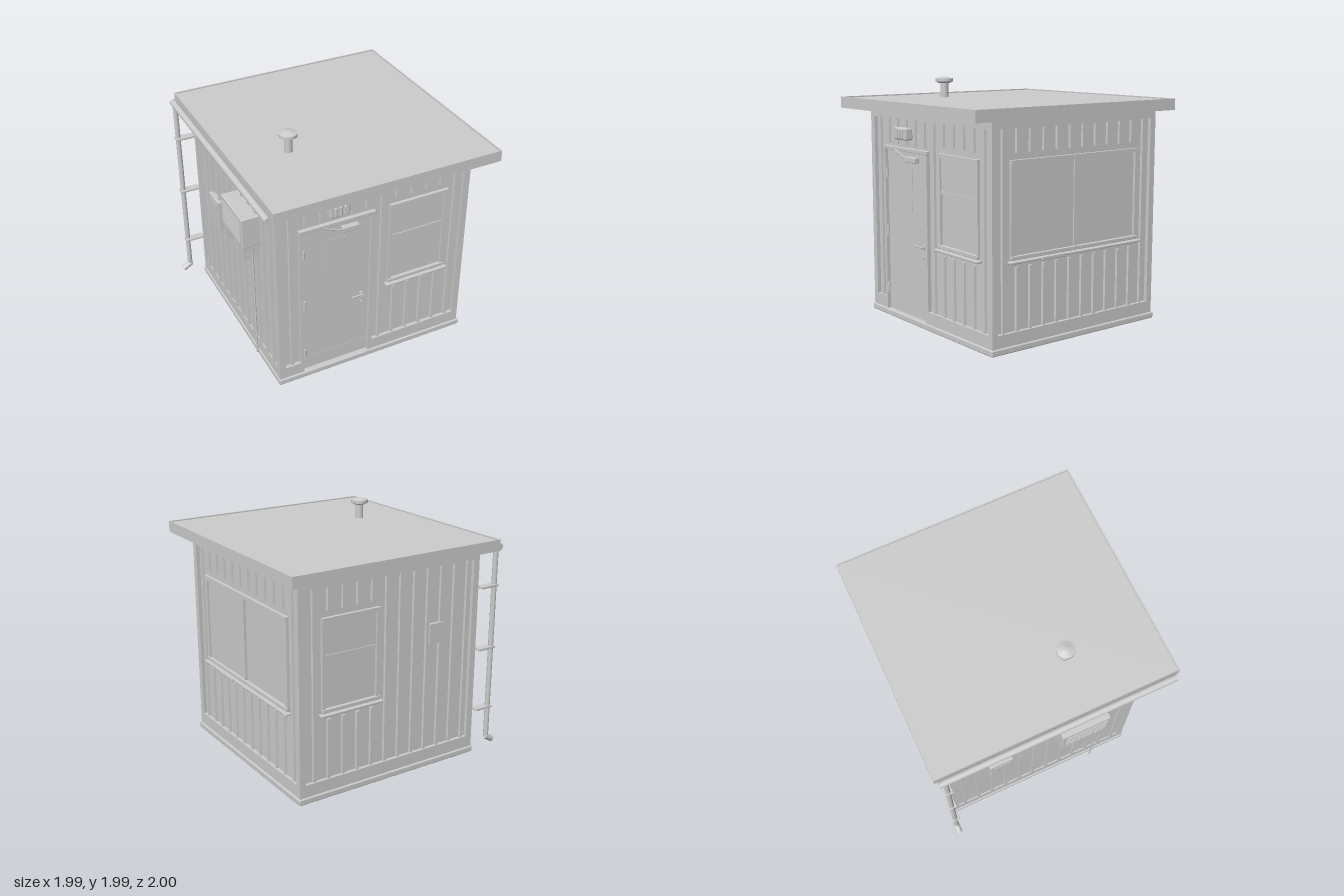
import * as THREE from 'three';
import { RoundedBoxGeometry } from 'three/addons/geometries/RoundedBoxGeometry.js';

const grey = new THREE.MeshStandardMaterial({ color: 0xcccccc });
grey.name = 'plain grey';

// wall faces of the cabin; the wall panels lie INSET behind them
const X0 = -0.783, X1 = 0.887, Z0 = -0.89, Z1 = 0.776;
const PITCH = 0.13, INSET = -0.03, LEFT_INSET = -0.012;

function add(parent, name, geo, x = 0, y = 0, z = 0) {
  const m = new THREE.Mesh(geo, grey);
  m.name = name;
  m.position.set(x, y, z);
  parent.add(m);
  return m;
}
// box given by its limits, with optional rounding
function box(parent, name, x0, x1, y0, y1, z0, z1, r = 0) {
  const s = [x1 - x0, y1 - y0, z1 - z0];
  const g = r ? new RoundedBoxGeometry(...s, 2, r) : new THREE.BoxGeometry(...s);
  return add(parent, name, g, (x0 + x1) / 2, (y0 + y1) / 2, (z0 + z1) / 2);
}
// cylinder between two points
function rod(parent, name, a, b, r, seg = 16) {
  const p = new THREE.Vector3(...a), q = new THREE.Vector3(...b);
  const m = add(parent, name, new THREE.CylinderGeometry(r, r, p.distanceTo(q), seg));
  m.position.copy(p).add(q).multiplyScalar(0.5);
  m.quaternion.setFromUnitVectors(new THREE.Vector3(0, 1, 0), q.sub(p).normalize());
  return m;
}
// wall group: local x runs along the wall, local z points outward
function wall(parent, name, x, z, turn) {
  const g = new THREE.Group();
  g.name = name;
  g.position.set(x, 0, z);
  g.rotation.y = turn * Math.PI / 2;
  parent.add(g);
  return g;
}
// edge trims around a wall; gap leaves the bottom rail open for a door
function trims(w, a, b, gap) {
  box(w, 'cornerTrim', a, a + 0.054, 0.05, 1.735, INSET, 0);
  box(w, 'cornerTrim', b - 0.054, b, 0.05, 1.735, INSET, 0);
  box(w, 'topRail', a + 0.054, b - 0.054, 1.67, 1.735, INSET, -0.001);
  const runs = gap ? [[a + 0.054, gap[0]], [gap[1], b - 0.054]] : [[a + 0.054, b - 0.054]];
  for (const [p, q] of runs) box(w, 'bottomRail', p, q, 0.05, 0.15, INSET, -0.001);
}
// one vertical rib with sloping sides
function rib(w, u, y0, y1, out) {
  const s = new THREE.Shape([[-0.015, INSET], [0.015, INSET], [0.012, out], [-0.012, out]]
    .map(([a, d]) => new THREE.Vector2(a, -d)).reverse());
  const geo = new THREE.ExtrudeGeometry(s, { depth: y1 - y0, bevelEnabled: false });
  add(w, 'rib', geo.rotateX(-Math.PI / 2), u, y0, 0);
}
// row of ribs, interrupted where an opening [left, right, bottom, top] is in the way
function ribs(w, first, count, openings, out = -0.012) {
  for (let i = 0; i < count; i++) {
    const u = first + i * PITCH;
    const o = openings.find(([l, r]) => u > l && u < r);
    const spans = o ? [[0.15, o[2]], [o[3], 1.67]] : [[0.15, 1.67]];
    for (const [p, q] of spans) if (q > p) rib(w, u, p, q, out);
  }
}
// window casing with head, sill and ledge
function casing(w, a, b) {
  box(w, 'windowHead', a, b, 1.408, 1.44, INSET, -0.002);
  box(w, 'windowSill', a, b, 0.697, 0.727, INSET, 0, 0.004);
  box(w, 'windowLedge', a - 0.022, b + 0.022, 0.673, 0.691, INSET, 0.02, 0.005);
  for (const [p, q] of [[a, a + 0.032], [b - 0.032, b]])
    box(w, 'windowJamb', p, q, 0.727, 1.408, INSET, -0.008);
}
function sashWindow(w, a, b) {
  casing(w, a, b);
  box(w, 'meetingRail', a + 0.032, b - 0.032, 1.13, 1.148, INSET, -0.014);
  box(w, 'upperSash', a + 0.032, b - 0.032, 1.148, 1.408, INSET, -0.022);
}

function buildDoor(w) {
  const F = -0.026;
  box(w, 'doorLeaf', -0.565, 0.012, 0.06, 1.405, INSET, F);
  for (const [p, q] of [[-0.595, -0.567], [0.014, 0.047]])
    box(w, 'doorJamb', p, q, 0.05, 1.41, INSET, 0.001);
  box(w, 'doorHead', -0.595, 0.05, 1.41, 1.44, INSET, 0.004, 0.004);
  box(w, 'kickPlate', -0.55, 0, 0.065, 0.18, F, F + 0.002);
  box(w, 'noticePlate', -0.355, -0.2, 0.92, 1.275, F, F + 0.003);
  for (const y of [0.235, 0.725, 1.21])
    rod(w, 'hinge', [-0.557, y - 0.04, -0.008], [-0.557, y + 0.04, -0.008], 0.01, 12);
  // lever handle and lock
  rod(w, 'handleRose', [-0.045, 0.66, F], [-0.045, 0.66, F + 0.012], 0.02, 24);
  rod(w, 'handleStem', [-0.045, 0.66, F], [-0.045, 0.66, F + 0.03], 0.008, 12);
  box(w, 'handleLever', -0.145, -0.037, 0.653, 0.667, F + 0.02, F + 0.032, 0.004);
  rod(w, 'keyLock', [-0.045, 0.575, F], [-0.045, 0.575, F + 0.01], 0.012, 20);
  // door closer
  box(w, 'closerBody', -0.24, -0.098, 1.33, 1.375, F, 0.018, 0.006);
  rod(w, 'closerArm', [-0.39, 1.415, 0.01], [-0.22, 1.352, 0.014], 0.007, 8);
}

function buildLamp(w) {
  box(w, 'lampBody', -0.36, -0.19, 1.507, 1.605, INSET, 0.04, 0.012);
  for (const u of [-0.315, -0.275, -0.235])
    box(w, 'lampGuard', u - 0.01, u + 0.01, 1.515, 1.597, 0.02, 0.052, 0.006);
}

function buildLeftWallGear(w) {
  // air conditioner with louvres on two brackets
  box(w, 'airConditioner', 0.045, 0.455, 1.18, 1.445, INSET, 0.135, 0.008);
  for (let i = 0; i < 8; i++) {
    const y = 1.215 + i * 0.026;
    box(w, 'louvre', 0.075, 0.425, y, y + 0.012, 0.13, 0.141);
  }
  for (const u of [0.055, 0.385])
    box(w, 'unitBracket', u, u + 0.05, 1.05, 1.18, INSET, 0.125);
  rod(w, 'drainPipe', [0.43, 0.09, -0.047 + 0.094], [0.43, 1.19, 0.047], 0.008, 10);
  // electrical cabinet
  box(w, 'cabinet', -0.53, -0.33, 0.82, 1.1, INSET, 0.034, 0.005);
  box(w, 'cabinetDoor', -0.5, -0.36, 0.87, 1.06, 0.03, 0.038);
}

function buildRoof(g) {
  const a = -0.89, b = 0.994, c = -1, d = 1, t = 0.012;
  const roof = new THREE.Group();
  roof.name = 'roof';
  g.add(roof);
  box(roof, 'roofDeck', a + t, b - t, 1.775, 1.82, c + t, d - t);
  for (const [p, q] of [[a, a + t], [b - t, b]]) box(roof, 'fascia', p, q, 1.738, 1.83, c, d);
  for (const [p, q] of [[c, c + t], [d - t, d]]) box(roof, 'fascia', a + t, b - t, 1.738, 1.83, p, q);
  // vent with mushroom cap, each tier as top radius, bottom radius, base, top
  rod(roof, 'ventPipe', [-0.435, 1.81, 0.268], [-0.435, 1.95, 0.268], 0.033, 24);
  for (const [r1, r0, y0, y1] of [[0.072, 0.052, 1.94, 1.952], [0.072, 0.072, 1.952, 1.977], [0.015, 0.072, 1.977, 1.992]])
    add(roof, 'ventCap', new THREE.CylinderGeometry(r1, r0, y1 - y0, 20), -0.435, (y0 + y1) / 2, 0.268);
}

function buildGutter(g) {
  const x = -0.917, z = -0.923;
  const gutter = new THREE.Group();
  gutter.name = 'gutter';
  g.add(gutter);
  rod(gutter, 'gutterPipe', [x, 1.76, -0.972], [x, 1.76, 0.968], 0.028, 20);
  rod(gutter, 'downspout', [x, 0.115, z], [x, 1.76, z], 0.021);
  rod(gutter, 'spout', [x + 0.012, 0.122, z], [-0.983, 0.076, z], 0.025);
  for (const y of [0.393, 0.918, 1.44])
    box(gutter, 'downspoutStrap', -0.943, X0 + 0.005, y - 0.01, y + 0.01, z - 0.026, z + 0.038, 0.004);
}

export function createModel() {
  const g = new THREE.Group();
  g.name = 'guardBooth';
  box(g, 'base', X0 - 0.01, X1 + 0.014, 0, 0.05, Z0 - 0.014, Z1 + 0.014, 0.01);
  box(g, 'cabin', X0 - LEFT_INSET, X1 + INSET, 0.04, 1.735, Z0 - INSET, Z1 + INSET);
  box(g, 'wallHead', X0, X1, 1.735, 1.78, Z0, Z1);

  const front = wall(g, 'frontWall', 0, Z1, 0);
  trims(front, X0, X1, [-0.595, 0.047]);
  ribs(front, -0.663, 12, [[-0.595, 0.047, 0, 1.46], [0.18, 0.7, 0.64, 1.49]]);
  sashWindow(front, 0.183, 0.702);
  buildDoor(front);
  buildLamp(front);

  // along this wall local x is -z
  const right = wall(g, 'rightWall', X1, 0, 1);
  trims(right, -Z1, -Z0);
  ribs(right, -0.66, 12, [[-0.6, 0.71, 0.64, 1.49]]);
  casing(right, -0.595, 0.71);
  box(right, 'mullion', 0.025, 0.058, 0.727, 1.408, INSET, -0.01);
  box(right, 'slidingPane', -0.563, 0.025, 0.727, 1.408, INSET, -0.022);
  box(right, 'passTray', -0.325, -0.095, 0.668, 0.696, 0, 0.03, 0.005);

  // along this wall local x is -x
  const back = wall(g, 'backWall', 0, Z0, 2);
  trims(back, -X1, -X0);
  ribs(back, -0.747, 12, [[-0.68, -0.16, 0.64, 1.49]]);
  sashWindow(back, -0.68, -0.161);
  box(back, 'coverPlate', 0.31, 0.44, 1.045, 1.21, INSET, 0);

  // along this wall local x is z
  const left = wall(g, 'leftWall', X0, 0, -1);
  trims(left, Z0, Z1);
  ribs(left, -0.77, 12, [], 0.006);
  buildLeftWallGear(left);

  buildRoof(g);
  buildGutter(g);
  return g;
}
